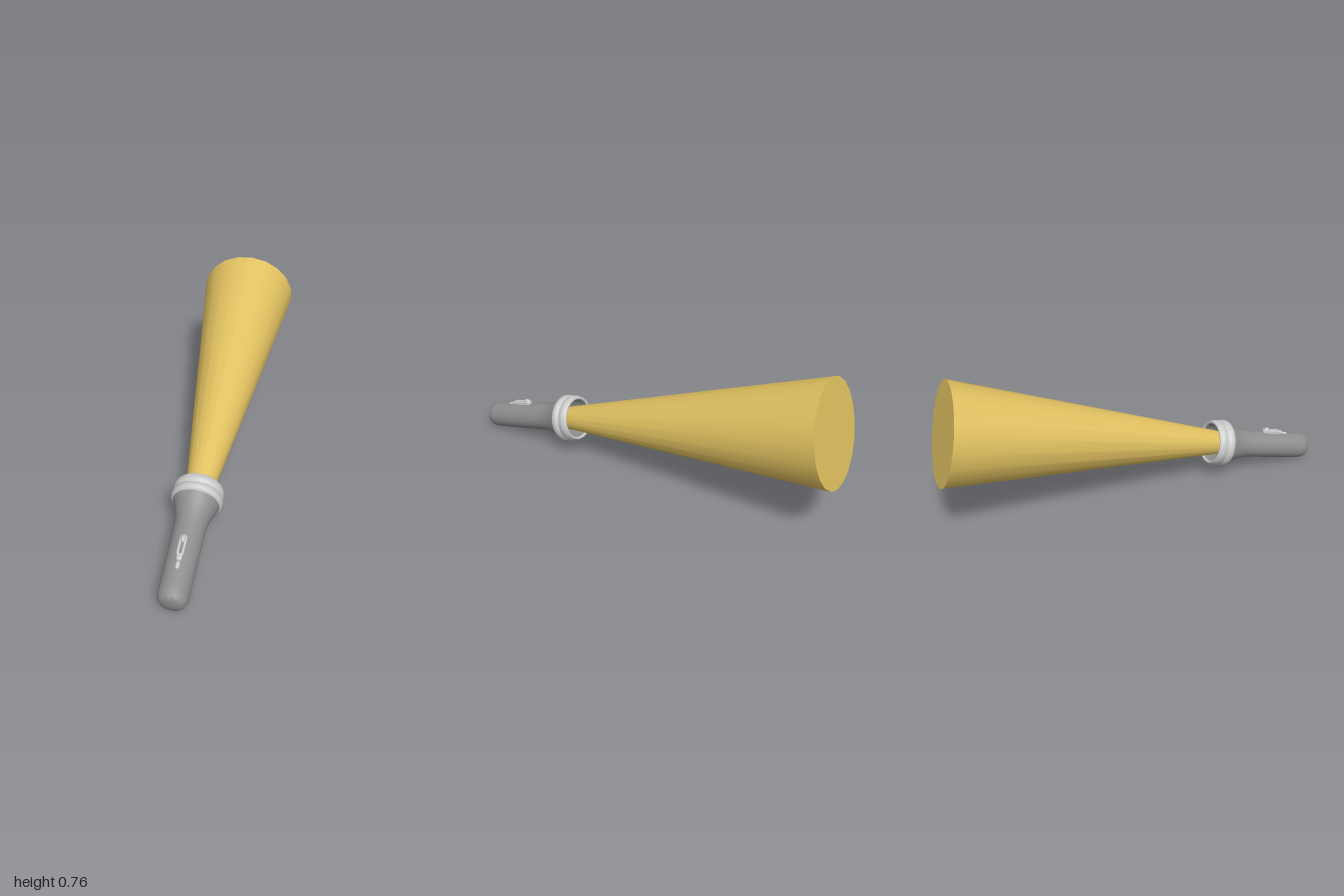
import * as THREE from 'three';
import { toCreasedNormals } from 'three/addons/utils/BufferGeometryUtils.js';

const darkGrey = new THREE.MeshStandardMaterial({ color: 0x8e8e8e });
const grey = new THREE.MeshStandardMaterial({ color: 0xcccccc });
const yellow = new THREE.MeshStandardMaterial({ color: 0xe0c060 });

// Surface of revolution from [radius, distance along the axis] pairs
function lathe(profile, crease = 0.6) {
  const points = profile.map(([r, s]) => new THREE.Vector2(r, s));
  return toCreasedNormals(new THREE.LatheGeometry(points, 40), crease);
}

// Straight-sided slot with round ends, centred on x = 0
function slot(Type, half, s0, s1) {
  const p = new Type();
  p.absarc(0, s1 - half, half, 0, Math.PI);
  p.absarc(0, s0 + half, half, Math.PI, Math.PI * 2);
  p.closePath();
  return p;
}

export function createModel() {
  const model = new THREE.Group();
  model.name = 'torchWithBeam';
  const torch = new THREE.Group();
  torch.name = 'torch';
  model.add(torch);

  const add = (name, geometry, material, parent = torch) => {
    const mesh = new THREE.Mesh(geometry, material);
    mesh.name = name;
    parent.add(mesh);
    return mesh;
  };

  // Handle with rounded tail, flaring into the head
  add('handle', lathe([
    [0, -0.008], [0.03, -0.006], [0.05, -0.001], [0.06, 0.009], [0.066, 0.025], [0.068, 0.05],
    [0.07, 0.2], [0.072, 0.37], [0.075, 0.405], [0.083, 0.44], [0.096, 0.477], [0.109, 0.508],
  ], 0.9), darkGrey);

  // Head: two rounded rings with a groove between
  add('headRings', lathe([
    [0.107, 0.505], [0.115, 0.508], [0.119, 0.515], [0.12, 0.527], [0.119, 0.538], [0.114, 0.543],
    [0.112, 0.55], [0.114, 0.556], [0.118, 0.561], [0.117, 0.575], [0.113, 0.59], [0.108, 0.596],
    [0.101, 0.595], [0.097, 0.588],
  ], 0.8), grey);

  // Hollow reflector inside the head
  add('reflector', lathe([[0.097, 0.588], [0.093, 0.565], [0.08, 0.54], [0.055, 0.525], [0, 0.522]]), darkGrey);

  // Light beam: long closed cone
  const near = 0.53, far = 1.978;
  const beam = new THREE.CylinderGeometry(0.247, 0.058, far - near, 20);
  beam.rotateY(THREE.MathUtils.degToRad(5));
  beam.translate(0, (near + far) / 2, 0);
  add('lightBeam', beam, yellow);

  // Sliding switch on top of the handle
  const slider = new THREE.Group();
  slider.name = 'slideSwitch';
  torch.add(slider);
  const frameShape = slot(THREE.Shape, 0.014, 0.185, 0.287);
  frameShape.holes.push(slot(THREE.Path, 0.008, 0.195, 0.277));
  const frame = new THREE.ExtrudeGeometry(frameShape, {
    depth: 0.016, bevelThickness: 0.003, bevelSize: 0.002, bevelSegments: 2, curveSegments: 8,
  });
  frame.translate(0, 0, 0.065);
  add('switchFrame', frame, grey, slider);

  const bump = (name, s, height, rx, rs, rh) => {
    const g = new THREE.SphereGeometry(1, 16, 12);
    g.scale(rx, rs, rh);
    add(name, g, grey, slider).position.set(0, s, height);
  };
  bump('switchKnob', 0.267, 0.08, 0.012, 0.017, 0.017);
  bump('switchStop', 0.181, 0.073, 0.014, 0.016, 0.012);
  bump('switchTail', 0.15, 0.068, 0.01, 0.02, 0.007);

  // Aim the torch: local y runs from tail to beam, local z is its top
  const tail = new THREE.Vector3(0.092, 0.063, 0.98);
  const axis = new THREE.Vector3(0, 0.527, -0.94).sub(tail).normalize();
  const top = new THREE.Vector3(0, 1, 0).addScaledVector(axis, -axis.y).normalize();
  const side = new THREE.Vector3().crossVectors(axis, top);
  torch.quaternion.setFromRotationMatrix(new THREE.Matrix4().makeBasis(side, axis, top));
  torch.position.copy(tail);
  return model;
}
